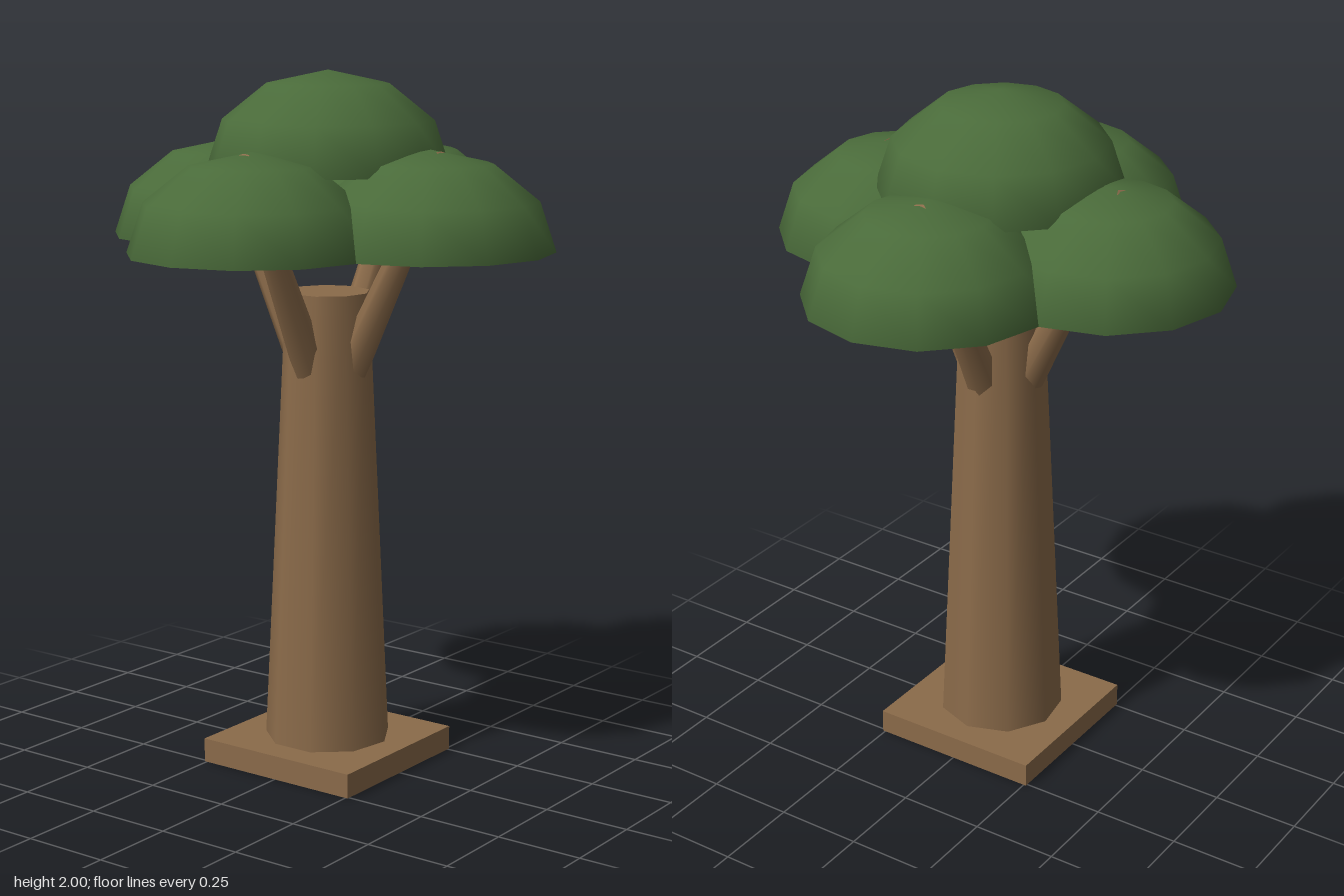
import * as THREE from 'three';

export function createModel() {
  const tree = new THREE.Group();
  tree.name = 'tree';
  const bark = new THREE.MeshStandardMaterial({ color: 0x8b6b4a });
  const leaf = new THREE.MeshStandardMaterial({ color: 0x4a6b3a, side: THREE.DoubleSide });

  const add = (name, geometry, material, x, y, z) => {
    const mesh = new THREE.Mesh(geometry, material);
    mesh.name = name;
    mesh.position.set(x, y, z);
    tree.add(mesh);
    return mesh;
  };

  // Square foot and tapered nine-sided trunk
  add('base', new THREE.BoxGeometry(0.515, 0.07, 0.515), bark, 0, 0.035, 0);
  add('trunk', new THREE.CylinderGeometry(0.121, 0.183, 1.31, 9, 1, false, Math.PI / 2), bark, 0, 0.725, 0);

  // Open half-dome shared by all leaf clumps
  const R = 0.345;
  const dome = new THREE.SphereGeometry(R, 12, 3, 0, Math.PI * 2, 0, Math.PI / 2);
  dome.scale(1, 0.797, 1);
  add('topCanopy', dome, leaf, 0, 1.725, 0);

  // Four leaning branches, each carrying a lower clump
  const up = new THREE.Vector3(0, 1, 0);
  ['left', 'front', 'right', 'back'].forEach((side, i) => {
    const angle = i * Math.PI / 2;
    const dx = Math.cos(angle), dz = Math.sin(angle);
    add(side + 'Canopy', dome, leaf, R * dx, 1.52, R * dz);

    const from = new THREE.Vector3(0.083 * dx, 1.167, 0.083 * dz);
    const to = new THREE.Vector3(0.393 * dx, 1.78, 0.393 * dz);
    const axis = to.clone().sub(from);
    const mid = from.clone().add(to).multiplyScalar(0.5);
    const branch = add(side + 'Branch', new THREE.CylinderGeometry(0.026, 0.051, axis.length(), 7),
      bark, mid.x, mid.y, mid.z);
    branch.quaternion.setFromUnitVectors(up, axis.normalize());
  });
  return tree;
}
